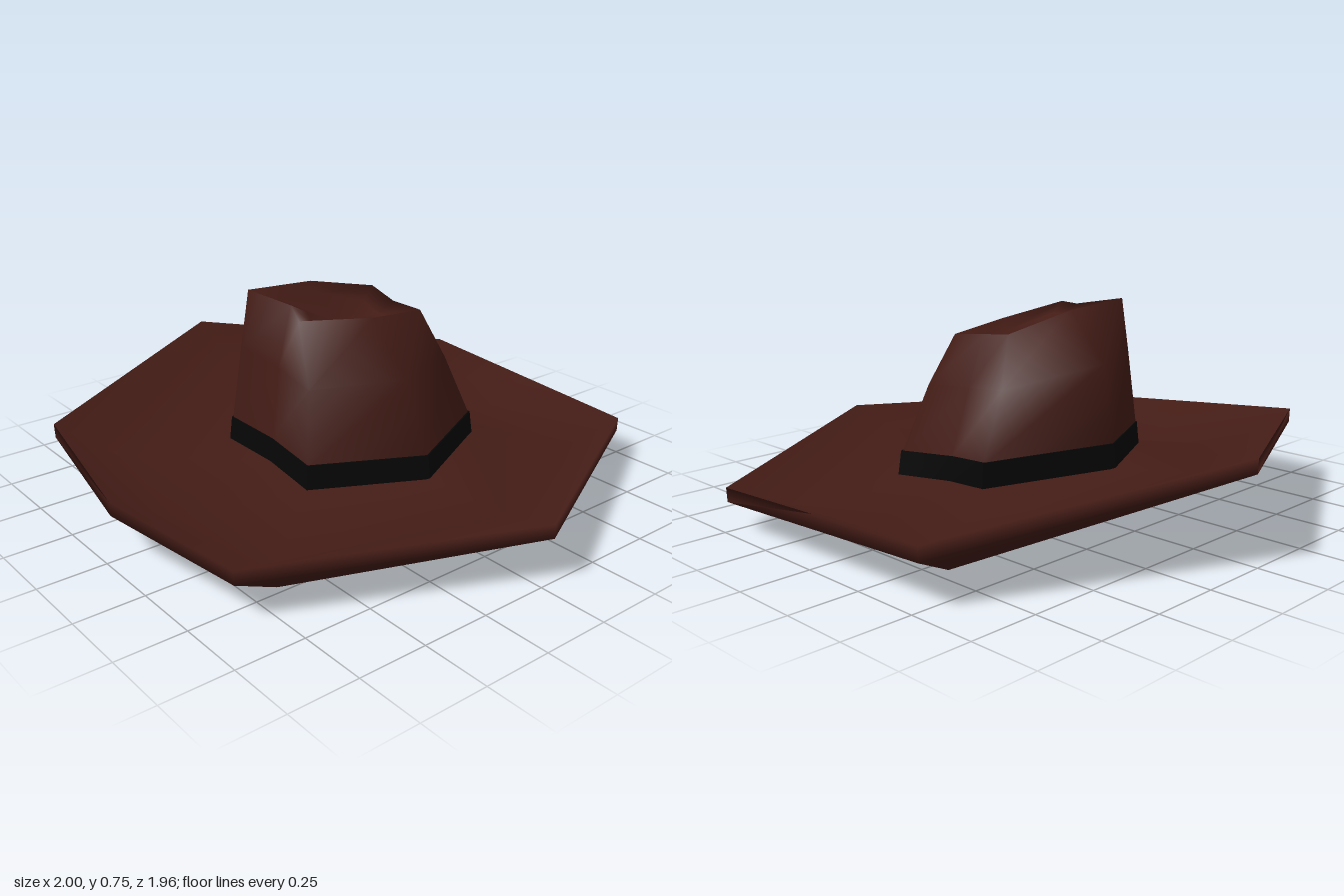
import * as THREE from 'three';
import { toCreasedNormals } from 'three/addons/utils/BufferGeometryUtils.js';

const SIDES = 8;

// Each ring runs: left, front left, front, front right, right, back right, back, back left.
// Scale a ring around the axis and shift it up or down.
const adjust = (ring, s, dy) => ring.map(([x, y, z]) => [x * s, y + dy, z * s]);

// Skin consecutive rings; close the loop of rings, or end in a centre point.
function loft(rings, { closed = false, tip = null } = {}) {
  const pos = rings.flat(2);
  const index = [];
  const last = closed ? rings.length : rings.length - 1;
  for (let i = 0; i < last; i++) {
    const j = (i + 1) % rings.length;
    for (let k = 0; k < SIDES; k++) {
      const n = (k + 1) % SIDES;
      const a = i * SIDES + k, b = i * SIDES + n;
      const c = j * SIDES + k, d = j * SIDES + n;
      index.push(a, c, b, b, c, d);
    }
  }
  if (tip) {
    const t = pos.length / 3, base = (rings.length - 1) * SIDES;
    pos.push(...tip);
    for (let k = 0; k < SIDES; k++) index.push(base + k, t, base + (k + 1) % SIDES);
  }
  const g = new THREE.BufferGeometry();
  g.setAttribute('position', new THREE.Float32BufferAttribute(pos, 3));
  g.setIndex(index);
  g.computeVertexNormals();
  return g;
}

export function createModel() {
  const hat = new THREE.Group();
  hat.name = 'hat';
  const felt = new THREE.MeshStandardMaterial({ color: 0x441c16, side: THREE.DoubleSide });
  const ribbon = new THREE.MeshStandardMaterial({ color: 0x060606, side: THREE.DoubleSide });
  const add = (name, geometry, material) => {
    const mesh = new THREE.Mesh(geometry, material);
    mesh.name = name;
    hat.add(mesh);
  };

  // Base of the crown, where brim and band meet
  const base = [
    [0.435, 0.145, -0.04], [0.24, 0.15, 0.355], [0, 0.165, 0.335], [-0.22, 0.185, 0.36],
    [-0.435, 0.21, -0.03], [-0.21, 0.18, -0.45], [0, 0.155, -0.41], [0.23, 0.14, -0.45],
  ];

  // Brim: tilted dish with an upturned edge
  const edgeTop = [
    [1, 0.21, -0.05], [0.56, 0.185, 0.87], [0, 0.22, 0.975], [-0.54, 0.29, 0.9],
    [-1, 0.365, -0.02], [-0.51, 0.205, -0.98], [0, 0.18, -0.98], [0.51, 0.155, -0.98],
  ];
  const dishLow = [
    [0.78, 0.1, -0.04], [0.47, 0, 0.65], [0, 0.035, 0.74], [-0.4, 0.1, 0.7],
    [-0.77, 0.215, -0.02], [-0.4, 0.045, -0.77], [0, 0.03, -0.77], [0.43, 0.01, -0.77],
  ];
  add('brim', loft([
    adjust(edgeTop, 0.998, -0.052), edgeTop, adjust(dishLow, 1, 0.055),
    adjust(base, 0.98, 0.01), adjust(base, 0.98, -0.03), dishLow,
  ], { closed: true }), felt);

  // Crown: tapering wall, sloped shoulders and a dented top
  const shoulder = [
    [0.315, 0.49, -0.03], [0.195, 0.5, 0.305], [0, 0.52, 0.29], [-0.205, 0.55, 0.305],
    [-0.375, 0.575, -0.03], [-0.19, 0.5, -0.335], [0, 0.48, -0.31], [0.185, 0.47, -0.335],
  ];
  const rim = [
    [0.14, 0.675, -0.02], [0.105, 0.715, 0.275], [-0.03, 0.725, 0.21], [-0.195, 0.755, 0.275],
    [-0.19, 0.738, 0], [-0.15, 0.68, -0.265], [0, 0.66, -0.24], [0.12, 0.65, -0.265],
  ];
  add('crown', loft(
    [adjust(base, 0.98, 0), adjust(base, 0.965, 0.09), shoulder, rim, adjust(rim, 0.7, -0.035)],
    { tip: [-0.02, 0.63, 0.02] },
  ), felt);

  // Band: wraps the wall, showing inside and out
  const bandGeometry = loft([
    adjust(base, 1, 0), adjust(base, 0.975, 0.095),
    adjust(base, 0.93, 0.095), adjust(base, 0.955, 0),
  ], { closed: true });
  add('hatBand', toCreasedNormals(bandGeometry, 0.6), ribbon);

  return hat;
}
